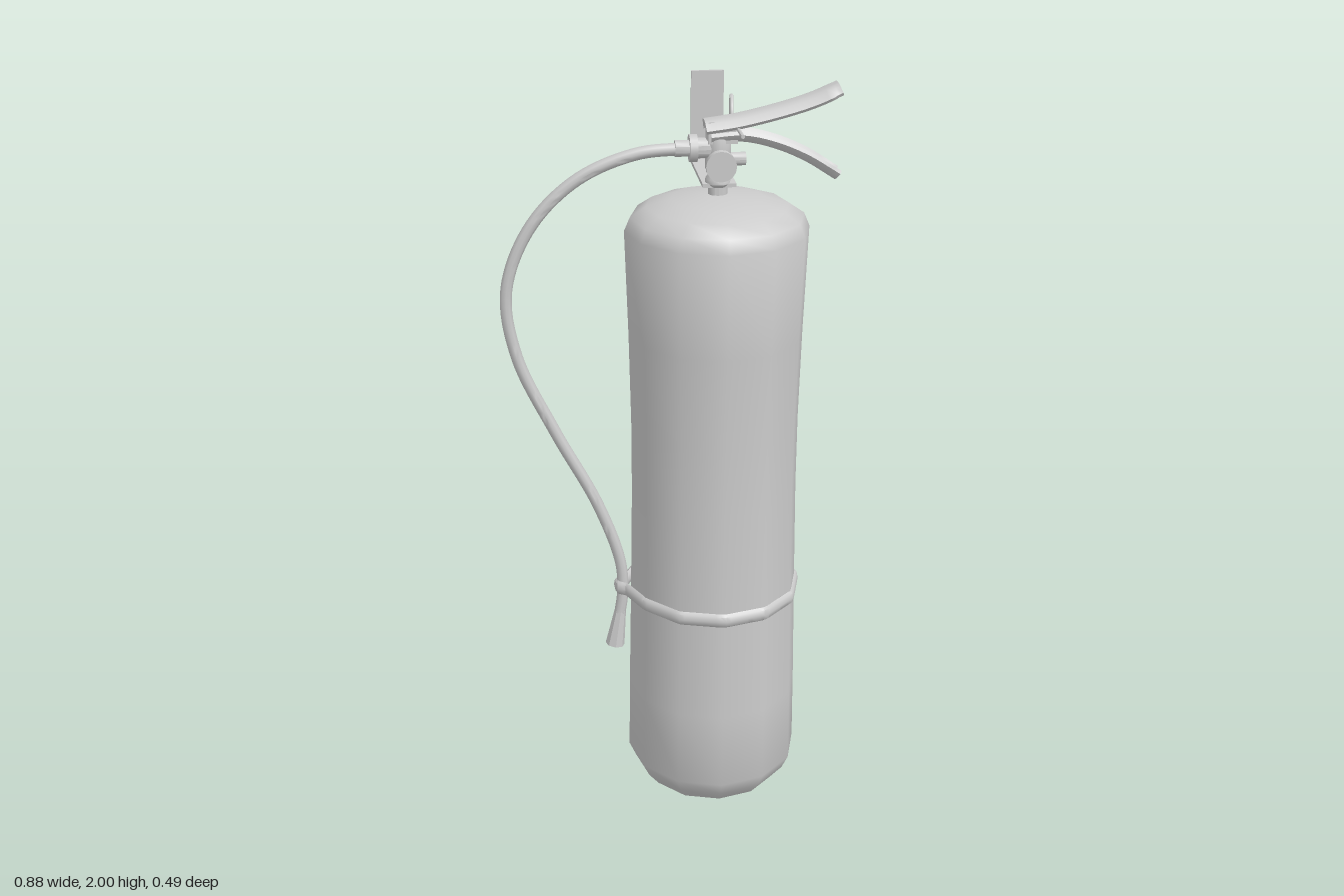
import * as THREE from 'three';
import { toCreasedNormals } from 'three/addons/utils/BufferGeometryUtils.js';

const CX = 0.13; // axis of the cylinder and valve
const grey = new THREE.MeshStandardMaterial({ color: 0xcccccc, side: THREE.DoubleSide });
const V = (x, y, z = 0) => new THREE.Vector3(x, y, z);

export function createModel() {
  const model = new THREE.Group();

  const add = (name, geo, x = 0, y = 0, z = 0, crease = 0.7) => {
    const mesh = new THREE.Mesh(toCreasedNormals(geo, crease), grey);
    mesh.name = name;
    mesh.position.set(x, y, z);
    model.add(mesh);
    return mesh;
  };
  // Cylinder lying along x, y or z
  const rod = (name, axis, r, len, x, y, z, r2 = r, sides = 16) => {
    const g = new THREE.CylinderGeometry(r, r2, len, sides);
    if (axis === 'x') g.rotateZ(-Math.PI / 2);
    if (axis === 'z') g.rotateX(Math.PI / 2);
    return add(name, g, x, y, z);
  };
  const box = (name, w, h, d, x, y, z) => add(name, new THREE.BoxGeometry(w, h, d), x, y, z);

  // Twelve-sided tank with a slight waist
  const profile = [[0, 0], [0.19, 0], [0.222, 0.04], [0.24, 0.08], [0.237, 0.3], [0.231, 0.6], [0.226, 0.9],
    [0.226, 1.1], [0.231, 1.35], [0.24, 1.63], [0.225, 1.665], [0.185, 1.692], [0.12, 1.712], [0.04, 1.722], [0, 1.722]]
    .map(([r, y]) => new THREE.Vector2(r, y));
  add('tank', new THREE.LatheGeometry(profile, 12), CX, 0, 0, 0.75);

  // Strap around the tank, pulled out on one side to wrap the hose
  const strapPoints = [];
  for (let i = 0; i < 12; i++) {
    const a = Math.PI + i * Math.PI / 6;
    if (i === 0) {
      strapPoints.push(V(-0.115, 0.605, 0.026), V(-0.138, 0.605, 0.012),
        V(-0.138, 0.605, -0.012), V(-0.115, 0.605, -0.026));
    } else {
      strapPoints.push(V(CX + Math.cos(a) * 0.232, 0.605, Math.sin(a) * 0.232));
    }
  }
  const strapPath = new THREE.CurvePath();
  strapPoints.forEach((p, i) => strapPath.add(new THREE.LineCurve3(p, strapPoints[(i + 1) % strapPoints.length])));
  const strapGeo = new THREE.TubeGeometry(strapPath, 120, 0.01, 8, true);
  strapGeo.translate(0, -0.605, 0).scale(1, 2, 1);
  add('strap', strapGeo, 0, 0.605, 0);

  // Hose and its flared nozzle
  const hosePath = new THREE.CatmullRomCurve3([V(0.055, 1.84), V(-0.08, 1.828), V(-0.23, 1.765), V(-0.35, 1.645),
    V(-0.415, 1.48), V(-0.395, 1.3), V(-0.3, 1.08), V(-0.19, 0.86), V(-0.13, 0.68), V(-0.125, 0.58), V(-0.133, 0.52)]);
  add('hose', new THREE.TubeGeometry(hosePath, 80, 0.016, 10), 0, 0, 0, 1);
  const nozzle = rod('nozzle', 'y', 0.016, 0.11, -0.14, 0.474, 0, 0.027, 8);
  nozzle.rotation.z = -0.15;

  // Hose coupling
  rod('hoseSleeve', 'x', 0.021, 0.04, 0.04, 1.84, 0);
  rod('couplingFlange', 'x', 0.035, 0.02, 0.066, 1.84, 0);
  rod('couplingNut', 'x', 0.026, 0.04, 0.095, 1.84, 0);

  // Valve: neck, body and pivot block
  const valve = [[0, 1.715], [0.025, 1.715], [0.025, 1.742], [0.032, 1.75], [0.032, 1.762], [0.024, 1.775],
    [0.033, 1.79], [0.033, 1.865], [0.026, 1.885], [0, 1.885]].map(([r, y]) => new THREE.Vector2(r, y));
  add('valve', new THREE.LatheGeometry(valve, 16), CX, 0, 0);
  box('pivotBlock', 0.075, 0.055, 0.056, 0.139, 1.882, 0);
  rod('sideStub', 'x', 0.017, 0.05, 0.175, 1.81, 0);

  // Pressure gauge
  rod('gaugeStem', 'z', 0.02, 0.06, CX, 1.807, 0.03);
  rod('gaugeDial', 'z', 0.039, 0.02, CX, 1.807, 0.06);

  // Levers: an arched section swept along a curve; dir +1 arches up, -1 arches down
  const lever = (name, pts, halfWidth, depth, dir) => {
    const path = new THREE.CatmullRomCurve3(pts);
    const section = [];
    const arch = (w, top, s) => {
      for (let i = 0; i <= 8; i++) {
        const u = s * (1 - i / 4);
        section.push([u * w, top - (depth - 0.001) * Math.pow(Math.abs(u), 4)]);
      }
    };
    arch(halfWidth, 0, 1);
    arch(halfWidth - 0.007, -0.008, -1);
    const n = section.length, steps = 20, pos = [], index = [];
    for (let i = 0; i <= steps; i++) {
      const t = i / steps, p = path.getPoint(t), tan = path.getTangent(t);
      const k = t > 0.94 ? 0.86 : 1;
      for (const [z, h] of section) pos.push(p.x - tan.y * h * dir, p.y + tan.x * h * dir, z * k);
    }
    for (let i = 0; i < steps; i++) {
      for (let j = 0; j < n; j++) {
        const a = i * n + j, b = i * n + (j + 1) % n;
        index.push(...(dir > 0 ? [a, b, a + n, b, b + n, a + n] : [a, a + n, b, b, a + n, b + n]));
      }
    }
    // End caps join the outer and inner arches
    for (const base of [0, steps * n]) {
      for (let j = 0; j < 8; j++) {
        const a = base + j, b = base + j + 1, c = base + n - 1 - j, d = base + n - 2 - j;
        const front = (base > 0) === (dir > 0);
        index.push(...(front ? [a, b, c, b, d, c] : [a, c, b, b, c, d]));
      }
    }
    const g = new THREE.BufferGeometry();
    g.setAttribute('position', new THREE.Float32BufferAttribute(pos, 3));
    g.setIndex(index);
    g.computeVertexNormals();
    add(name, g);
  };
  lever('squeezeLever', [V(0.093, 1.912), V(0.18, 1.924), V(0.3, 1.952), V(0.37, 1.974), V(0.428, 1.999)], 0.041, 0.024, 1);
  lever('carryHandle', [V(0.11, 1.852), V(0.19, 1.856), V(0.27, 1.837), V(0.35, 1.802), V(0.428, 1.753)], 0.036, 0.022, -1);

  // Safety pin and pull ring
  rod('safetyPin', 'z', 0.005, 0.19, 0.176, 1.892, 0.017, 0.005, 8);
  const ring = add('pullRing', new THREE.TorusGeometry(0.048, 0.005, 8, 28), 0.181, 1.892, -0.133);
  ring.rotation.y = Math.PI / 2 - 0.12;

  // Wall bracket behind the valve
  box('bracketArm', 0.086, 0.01, 0.265, 0.132, 1.747, -0.112);
  box('bracketPlate', 0.086, 0.243, 0.01, 0.132, 1.8635, -0.24);

  return model;
}
